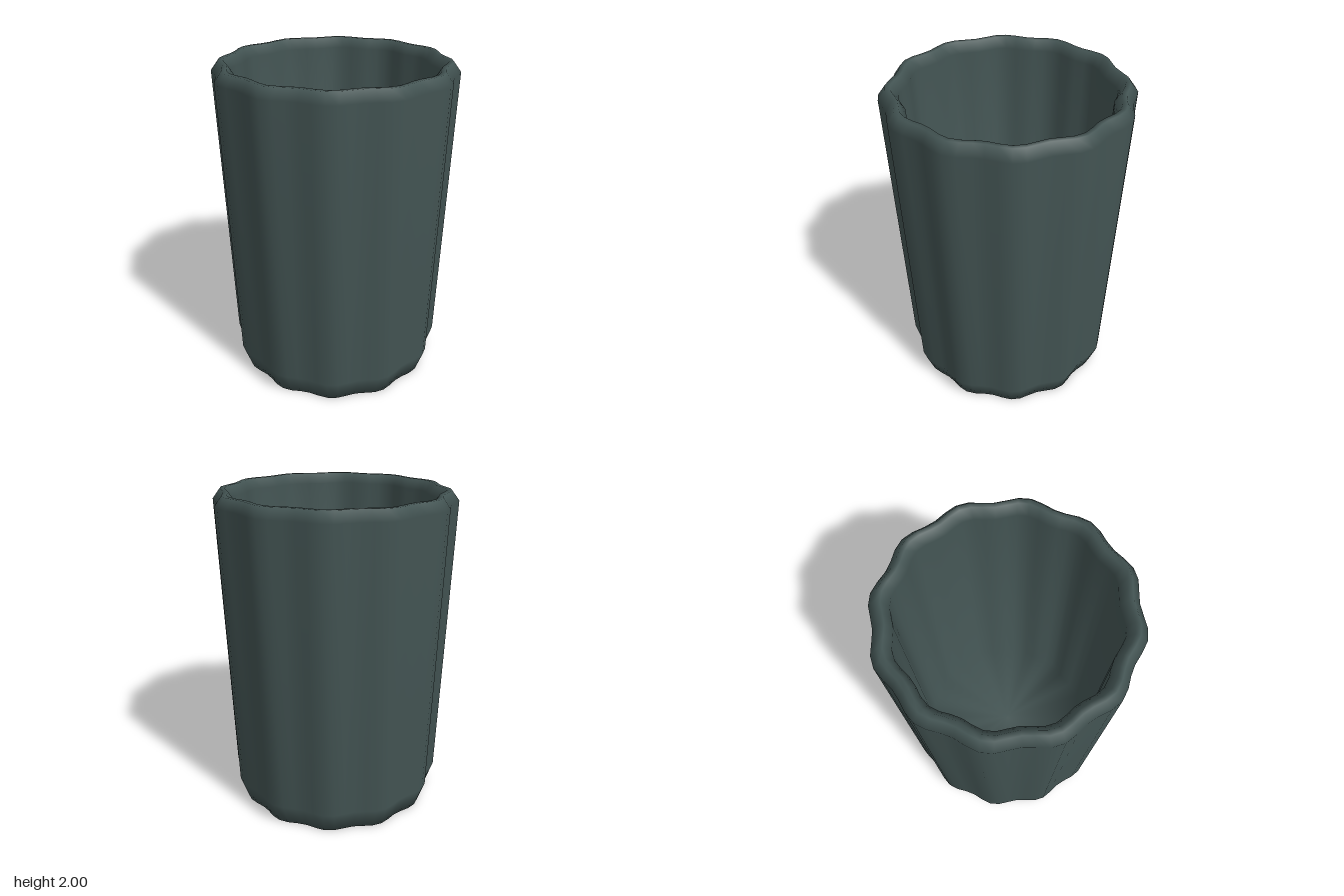
import * as THREE from 'three';
import { mergeVertices } from 'three/addons/utils/BufferGeometryUtils.js';

const LOBES = 12;
const SEGMENTS = 64;
const FLUTE = 0.025; // flute depth as a share of the radius

// Closed cup profile at a flute crest: underside, outer wall, rim, inner wall, floor
const PROFILE = [
  [0, 0], [0.63, 0], [0.68, 0.14], [0.74, 1.94], [0.695, 2],
  [0.665, 2], [0.625, 1.94], [0.567, 0.14], [0, 0.14],
];

function flutedLathe(profile) {
  const points = profile.map(([r, y]) => new THREE.Vector2(r / (1 + FLUTE), y));
  let geometry = new THREE.LatheGeometry(points, SEGMENTS);
  const pos = geometry.attributes.position;
  // Scale each vertex in and out around the axis to make the flutes
  for (let i = 0; i < pos.count; i++) {
    const x = pos.getX(i), z = pos.getZ(i);
    const k = 1 + FLUTE * Math.cos(LOBES * Math.atan2(z, x));
    pos.setX(i, x * k);
    pos.setZ(i, z * k);
  }
  // Weld the seam so the shading is smooth all round
  geometry.deleteAttribute('uv');
  geometry.deleteAttribute('normal');
  geometry = mergeVertices(geometry, 1e-4);
  geometry.computeVertexNormals();
  return geometry;
}

export function createModel() {
  const model = new THREE.Group();
  model.name = 'flutedCup';
  const darkSlate = new THREE.MeshStandardMaterial({ color: 0x435453 });
  darkSlate.name = 'darkSlate';

  const cup = new THREE.Mesh(flutedLathe(PROFILE), darkSlate);
  cup.name = 'cupBody';
  model.add(cup);
  return model;
}
